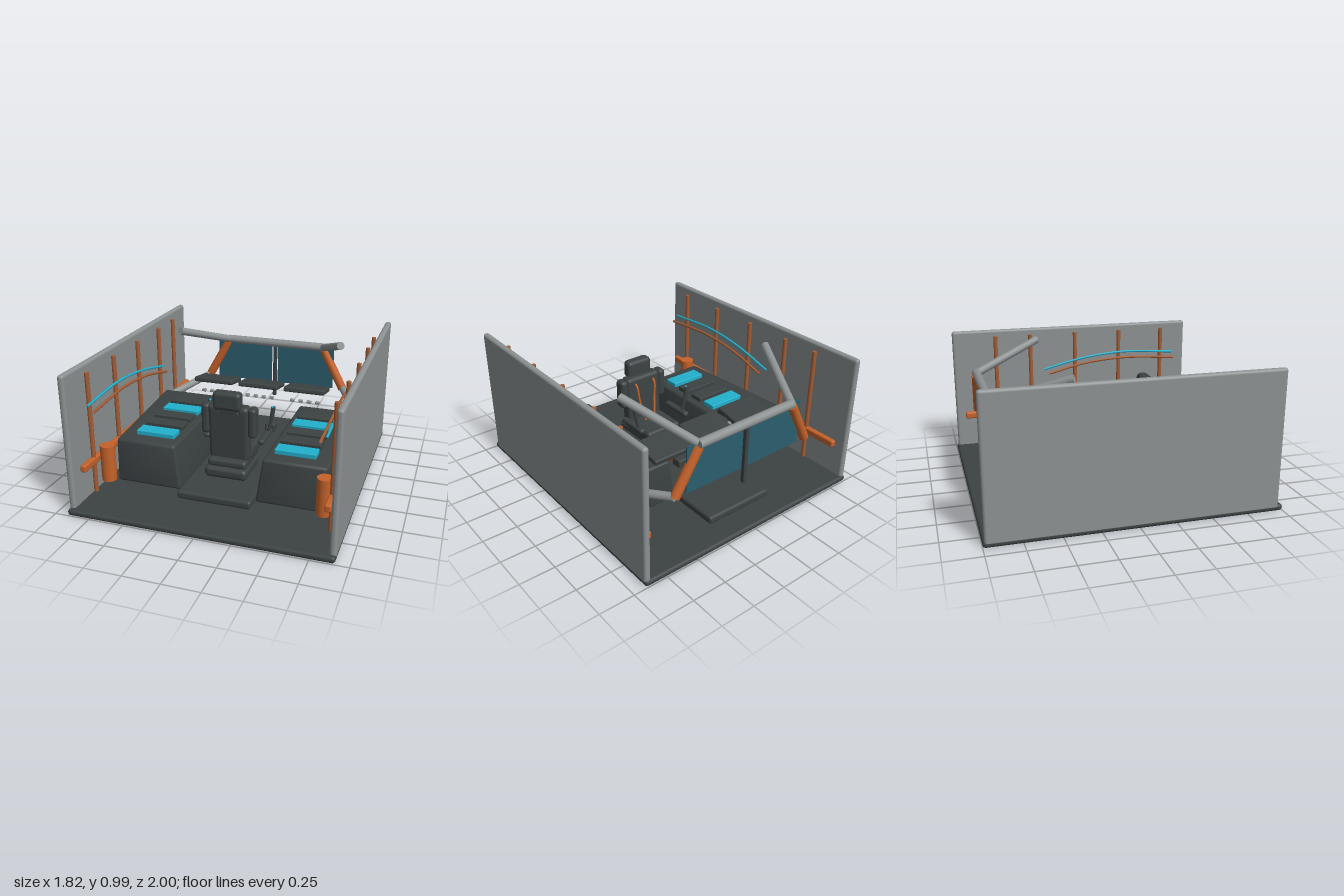
import * as THREE from 'three';
import { toCreasedNormals } from 'three/addons/utils/BufferGeometryUtils.js';
import { RoundedBoxGeometry } from 'three/addons/geometries/RoundedBoxGeometry.js';

const mat = (name, color) => new THREE.MeshStandardMaterial({ name, color });
const V = (x, y, z) => new THREE.Vector3(x, y, z);

export function createModel() {
  const root = new THREE.Group();
  root.name = 'cockpit';
  const dark = mat('charcoal', 0x3c4242);
  const grey = mat('hull grey', 0x8c9192);
  const orange = mat('orange', 0xc4622a);
  const copper = mat('copper', 0xa35c34);
  const cyan = mat('cyan', 0x22b0cc);
  const glass = mat('dark teal glass', 0x2b5d6e);
  glass.side = THREE.DoubleSide;

  const add = (name, geometry, material) => {
    const mesh = new THREE.Mesh(geometry, material);
    mesh.name = name;
    root.add(mesh);
    return mesh;
  };
  // Rounded box given by its limits on each axis
  const box = (name, m, x0, x1, y0, y1, z0, z1, r = 0.015) => {
    const w = Math.abs(x1 - x0), h = y1 - y0, d = z1 - z0;
    const radius = Math.min(r, w * 0.45, h * 0.45, d * 0.45);
    const mesh = add(name, new RoundedBoxGeometry(w, h, d, 3, radius), m);
    mesh.position.set((x0 + x1) / 2, (y0 + y1) / 2, (z0 + z1) / 2);
    return mesh;
  };
  // Straight round bar between two points
  const rod = (name, m, a, b, r, sides = 16) => {
    const dir = b.clone().sub(a);
    const mesh = add(name, new THREE.CylinderGeometry(r, r, dir.length(), sides), m);
    mesh.position.copy(a).add(b).multiplyScalar(0.5);
    mesh.quaternion.setFromUnitVectors(V(0, 1, 0), dir.normalize());
    return mesh;
  };
  const tube = (name, m, points, r) =>
    add(name, new THREE.TubeGeometry(new THREE.CatmullRomCurve3(points), 32, r, 8), m);

  // Floor and raised centre deck
  box('floor', dark, -0.91, 0.91, 0.005, 0.05, -1, 1, 0.02);
  box('centreDeck', dark, -0.265, 0.265, 0.06, 0.12, -0.84, 0.645, 0.02);

  // Side console: a rounded block tapered towards the top and the front
  const consoleGeometry = (s) => {
    const g = new RoundedBoxGeometry(0.52, 0.32, 1.03, 3, 0.02);
    const p = g.attributes.position;
    for (let i = 0; i < p.count; i++) {
      const t = p.getY(i) / 0.32 + 0.5;
      const u = p.getZ(i) / 1.03 + 0.5;
      const k = s * p.getX(i) / 0.52 + 0.5;
      const inner = 0.27 + 0.045 * t;
      const outer = 0.825 - 0.075 * u;
      p.setX(i, s * (inner + (outer - inner) * k));
      p.setY(i, 0.24 + p.getY(i));
      p.setZ(i, -0.47 + u * (1.03 - 0.015 * t));
    }
    return toCreasedNormals(g, 0.6);
  };

  for (const s of [-1, 1]) {
    const side = s > 0 ? 'left' : 'right';
    box(side + 'Wall', grey, s * 0.865, s * 0.91, 0.02, 0.99, -0.99, 0.967, 0.02);
    add(side + 'Console', consoleGeometry(s), dark);

    // Console key plates
    [[-0.285, dark], [-0.13, cyan], [0.02, dark], [0.17, dark], [0.325, cyan]].forEach(([z, m], i) =>
      box(side + 'ConsolePlate' + i, m, s * 0.365, s * 0.65, 0.395, 0.432, z, z + 0.108, 0.006));

    // Wall ribs, rail, canister and cables
    for (const z of [-0.655, -0.375, -0.005, 0.37, 0.74])
      rod(side + 'WallRib', copper, V(s * 0.827, 0.075, z), V(s * 0.827, 0.945, z), 0.016);
    box(side + 'WallRail', orange, s * 0.807, s * 0.849, 0.285, 0.337, -0.92, 0.89, 0.012);
    rod(side + 'Canister', orange, V(s * 0.762, 0.14, 0.66), V(s * 0.762, 0.4, 0.66), 0.052, 24);
    tube(side + 'CyanCable', cyan, [V(s * 0.79, 0.745, 0.83), V(s * 0.788, 0.77, 0.4),
      V(s * 0.775, 0.74, 0.05), V(s * 0.757, 0.67, -0.28)], 0.009);
    tube(side + 'CopperCable', copper, [V(s * 0.75, 0.705, 0.83), V(s * 0.75, 0.73, 0.4),
      V(s * 0.735, 0.705, 0.05), V(s * 0.715, 0.64, -0.25)], 0.01);

    // Canopy frame
    rod(side + 'CanopyBar', grey, V(s * 0.4, 0.765, -0.855), V(s * 0.63, 0.945, -0.36), 0.029);
    rod(side + 'CanopyPillar', orange, V(s * 0.405, 0.745, -0.86), V(s * 0.575, 0.435, -0.845), 0.034);
    rod(side + 'LowerBar', grey, V(s * 0.575, 0.44, -0.845), V(s * 0.8, 0.355, -0.4), 0.029);

    // Windscreen pane
    const pane = add(side + 'Windscreen', new THREE.BoxGeometry(0.465, 0.34, 0.008), glass);
    pane.position.set(s * 0.258, 0.6, -0.85);

    // Seat bolster, armrest and control stick
    box(side + 'SeatBolster', dark, s * 0.14, s * 0.2, 0.43, 0.65, 0.24, 0.33, 0.025);
    box(side + 'Armrest', dark, s * 0.18, s * 0.228, 0.345, 0.383, -0.02, 0.225, 0.018);
    rod(side + 'StickShaft', dark, V(s * 0.205, 0.37, 0.04), V(s * 0.238, 0.51, 0.035), 0.011, 12);
    rod(side + 'StickGrip', dark, V(s * 0.232, 0.49, 0.035), V(s * 0.242, 0.57, 0.035), 0.016, 12);
    const button = add(side + 'StickButton', new THREE.SphereGeometry(0.01, 12, 8), cyan);
    button.position.set(s * 0.238, 0.568, 0.042);

    // Harness strap
    tube(side + 'HarnessStrap', orange, [V(s * 0.07, 0.61, 0.345), V(s * 0.08, 0.6, 0.23),
      V(s * 0.065, 0.46, 0.205), V(s * 0.04, 0.32, 0.17)], 0.008);

    // Pedal with its arm
    box(side + 'Pedal', dark, s * 0.08, s * 0.16, 0.22, 0.28, -0.38, -0.3, 0.01);
    rod(side + 'PedalArm', orange, V(s * 0.108, 0.26, -0.31), V(s * 0.093, 0.16, -0.185), 0.009, 10);
  }

  // Windscreen top bar and centre mullion
  rod('topBar', grey, V(-0.405, 0.765, -0.86), V(0.405, 0.765, -0.86), 0.032);
  box('mullion', dark, -0.014, 0.014, 0.31, 0.74, -0.87, -0.84, 0.005);

  // Dashboard panels, tilted, each with a row of small keys below
  for (const x of [-0.365, 0, 0.365]) {
    const panel = box('dashPanel', dark, x - 0.158, x + 0.158, 0.52, 0.56, -0.587, -0.358, 0.012);
    panel.rotation.x = -0.2;
    for (let i = 0; i < 4; i++) {
      const kx = x - 0.099 + i * 0.066;
      box('dashKey', grey, kx - 0.017, kx + 0.017, 0.445, 0.468, -0.43, -0.405, 0.007);
    }
  }

  // Seat, facing the windscreen
  box('seatBase', dark, -0.155, 0.155, 0.13, 0.21, 0.08, 0.405, 0.03);
  box('seatRiser', dark, -0.143, 0.143, 0.2, 0.262, 0.06, 0.37, 0.025);
  box('seatCushion', dark, -0.15, 0.15, 0.235, 0.32, -0.01, 0.26, 0.025);
  box('backrest', dark, -0.146, 0.146, 0.24, 0.655, 0.232, 0.33, 0.03).rotation.x = 0.05;
  box('headrestNeck', dark, -0.055, 0.055, 0.6, 0.68, 0.29, 0.34, 0.015);
  box('headrest', dark, -0.102, 0.102, 0.63, 0.765, 0.285, 0.37, 0.03);

  return root;
}
